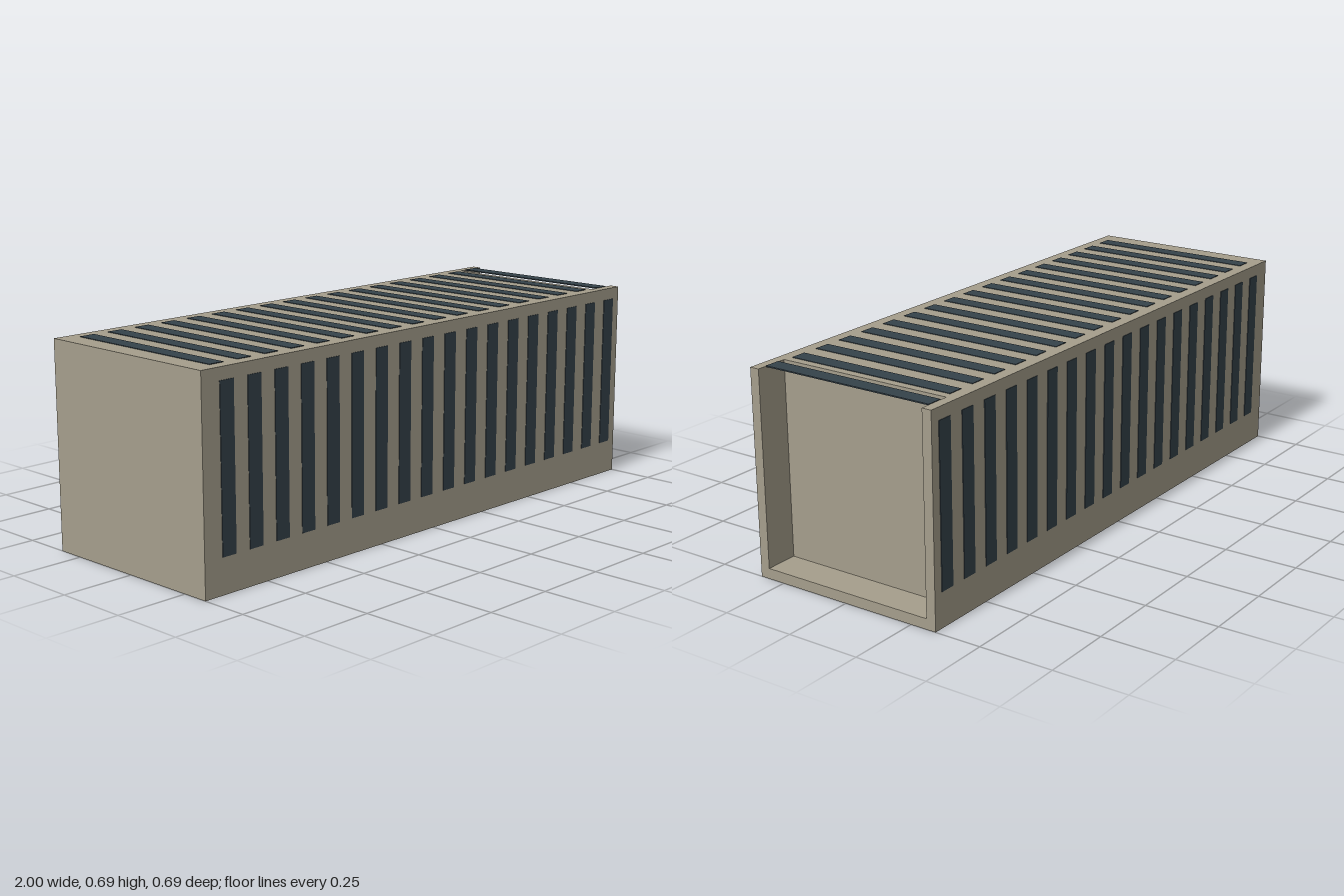
import * as THREE from 'three';

export function createModel() {
  const model = new THREE.Group();
  const shell = new THREE.MeshStandardMaterial({ color: 0xa59e8c });
  shell.name = 'beige wall';
  const glass = new THREE.MeshStandardMaterial({ color: 0x35424a });
  glass.name = 'dark window';

  // Box given by its minimum and maximum corners
  function box(name, material, [x0, y0, z0], [x1, y1, z1], parent = model) {
    const mesh = new THREE.Mesh(new THREE.BoxGeometry(x1 - x0, y1 - y0, z1 - z0), material);
    mesh.position.set((x0 + x1) / 2, (y0 + y1) / 2, (z0 + z1) / 2);
    mesh.name = name;
    parent.add(mesh);
  }

  const H = 0.685, D = 0.341, wall = 0.033, back = 0.887, proud = 0.002;

  // Solid hall, with an open-topped recess at the +x end
  box('hall', shell, [-1, 0, -D], [back, H, D]);
  box('recessFloor', shell, [back, 0, -D], [1, 0.035, D]);
  box('recessWallFront', shell, [back, 0.035, D - wall], [1, H, D]);
  box('recessWallBack', shell, [back, 0.035, -D], [1, H, wall - D]);

  // Evenly spaced window strips on front, back and roof; the last roof strip spans the recess
  const count = 18, pitch = 0.1085, width = 0.054;
  const windows = new THREE.Group();
  windows.name = 'windowStrips';
  model.add(windows);
  for (let i = 0; i < count; i++) {
    const x0 = -0.931 + i * pitch, x1 = x0 + width;
    box('frontWindow', glass, [x0, 0.117, D - 0.001], [x1, 0.645, D + proud], windows);
    box('backWindow', glass, [x0, 0.117, -D - proud], [x1, 0.645, -D + 0.001], windows);
    const span = i === count - 1 ? D - wall : 0.3;
    box('roofWindow', glass, [x0, H - 0.002, -span], [x1, H + proud, span], windows);
  }
  return model;
}
